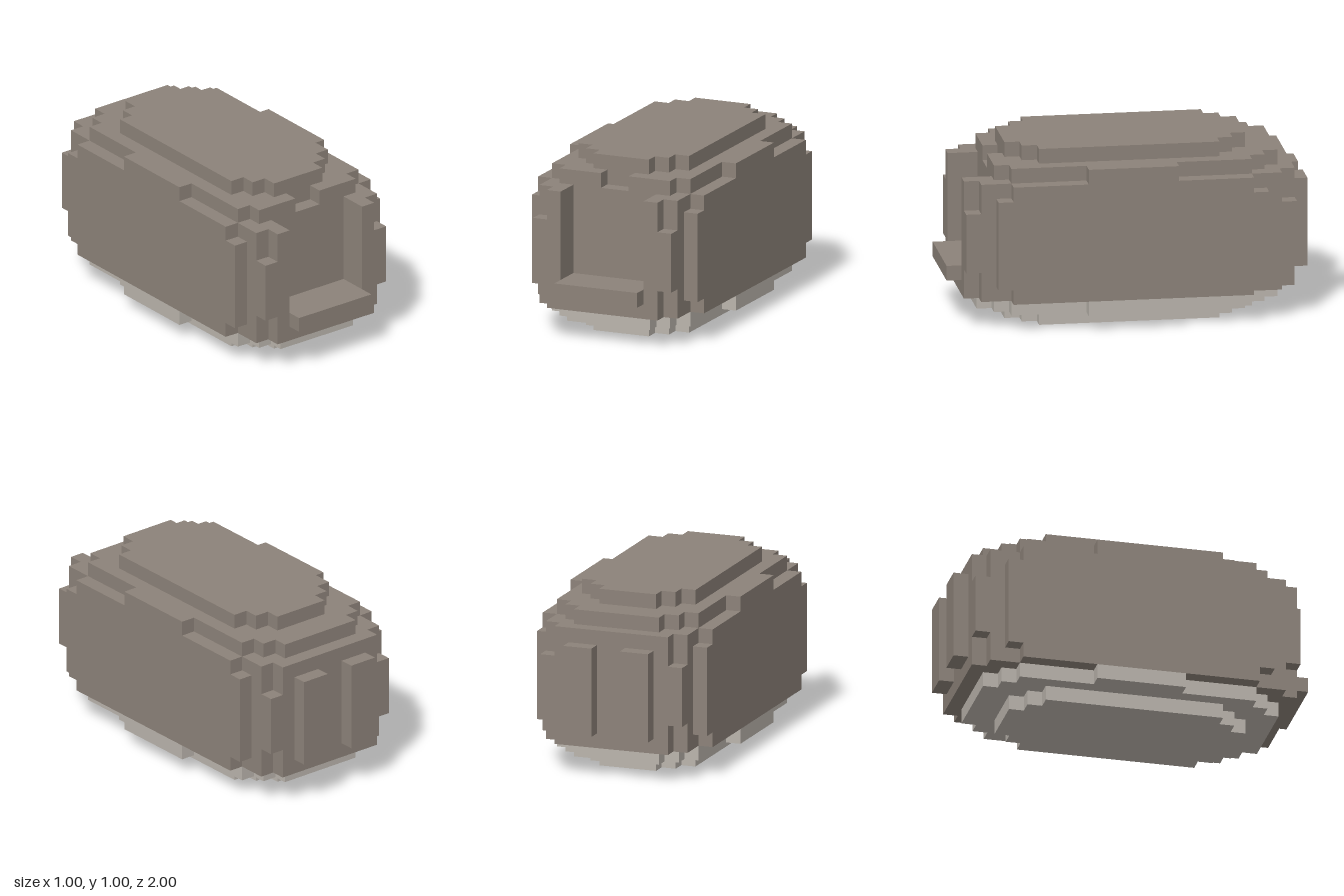
import * as THREE from 'three';

const U = 1 / 12; // size of one block

const body = new THREE.MeshStandardMaterial({ color: 0x8c8279 });
body.name = 'warm grey';
const pale = new THREE.MeshStandardMaterial({ color: 0xbab4ac });
pale.name = 'pale grey';

// Steps run from the centre line outwards: [x reached, z extent], in blocks.
function edge(steps, sign) {
  const half = [];
  let x = 0;
  steps.forEach(([nextX, z], i) => {
    if (i > 0) half.push([x, z * sign]);
    half.push([nextX, z * sign]);
    x = nextX;
  });
  return [...half.map(([px, pz]) => [-px, pz]).reverse(), ...half];
}

// A slab between two heights with a stepped, mirrored outline.
function layer(name, y0, y1, material, back, front = back) {
  const points = [...edge(front, 1), ...edge(back, -1).reverse()];
  const shape = new THREE.Shape(points.map(([x, z]) => new THREE.Vector2(x * U, -z * U)));
  const geometry = new THREE.ExtrudeGeometry(shape, { depth: (y1 - y0) * U, bevelEnabled: false });
  geometry.rotateX(-Math.PI / 2);
  const mesh = new THREE.Mesh(geometry, material);
  mesh.name = name;
  mesh.position.y = y0 * U;
  return mesh;
}

// A box given by its extents in blocks.
function block(name, x0, x1, y0, y1, z0, z1) {
  const geometry = new THREE.BoxGeometry((x1 - x0) * U, (y1 - y0) * U, (z1 - z0) * U);
  const mesh = new THREE.Mesh(geometry, body);
  mesh.name = name;
  mesh.position.set((x0 + x1) * U / 2, (y0 + y1) * U / 2, (z0 + z1) * U / 2);
  return mesh;
}

export function createModel() {
  const model = new THREE.Group();
  model.name = 'blockyPod';

  const cap = [[2, 8], [3, 7], [4, 6]];
  const shoulder = [[3, 10], [4, 9], [5, 8], [6, 3]];
  const rim = [[4, 11], [5, 10], [6, 8]];
  const wall = [[4, 11], [5, 10], [6, 9]];
  const middle = [[5, 11], [6, 9]];
  const recessed = (steps) => [[3, 9], ...steps]; // doorway cut into the front

  model.add(
    // Pale underside
    layer('bellyPlate', 0, 1, pale, cap),
    layer('lowerShoulder', 1, 2, pale, shoulder),
    // Hull
    layer('lowerRim', 2, 3, body, rim),
    layer('lowerWall', 3, 4, body, wall),
    layer('middleWall', 4, 8, body, middle, recessed(middle)),
    layer('upperWall', 8, 9, body, wall, recessed(wall)),
    layer('upperRim', 9, 10, body, rim, recessed(rim)),
    // Roof, notched above the doorway
    layer('upperShoulder', 10, 11, body, shoulder, [[1, 8], [4, 9], [5, 8], [6, 3]]),
    layer('roofPlate', 11, 12, body, cap),
    // Step under the doorway
    block('frontStep', -3, 3, 3, 4, 11, 12),
    // Two upright bars on the back
    block('backBarLeft', 1, 3, 3, 9, -12, -11),
    block('backBarRight', -3, -1, 3, 9, -12, -11),
  );
  return model;
}
